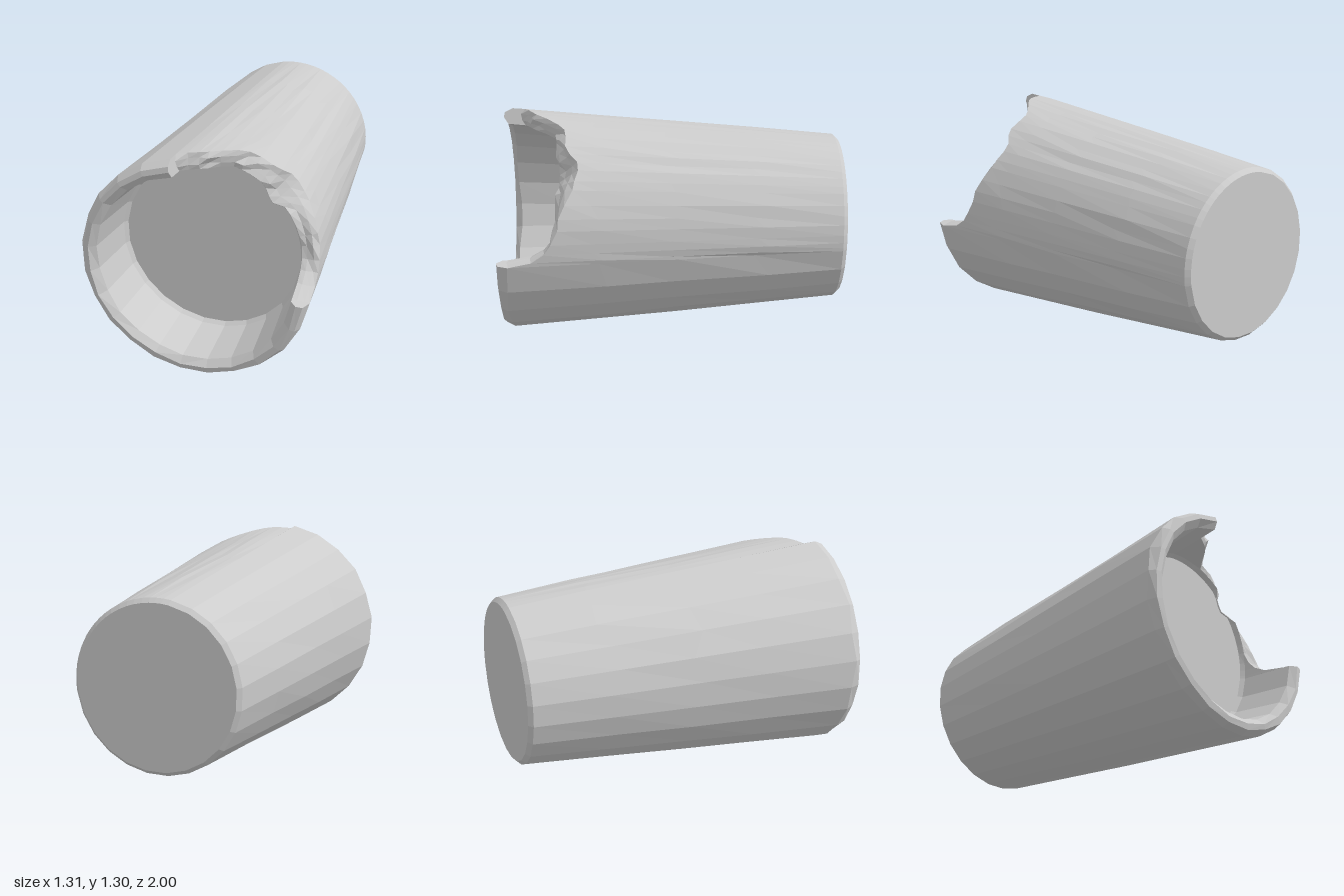
import * as THREE from 'three';

const CY = 0.663;      // height of the cup's axis, which runs along z
const FLOOR_Z = 0.64;  // level of the disc inside the mouth
const rad = THREE.MathUtils.degToRad;

// Small seeded noise in -1..1
let seed = 7;
const noise = () => {
  seed = (seed * 16807) % 2147483647;
  return (seed / 2147483647) * 2 - 1;
};

// Tapering radii of the outer and inner wall
const rOut = z => 0.492 + (z + 0.98) * 0.087;
const rIn = z => 0.535 + (z - 0.66) * 0.095;

// Broken edge: [angle in degrees, z of the outer edge, optional inner radius]
const BREAK = [
  [-8, 0.93], [-6, 0.8], [-2, 0.73], [3, 0.69], [10, 0.65], [16, 0.645],
  [23, 0.61], [31, 0.565], [36, 0.555, 0.52], [42, 0.535, 0.475], [47, 0.54, 0.485],
  [52, 0.585, 0.51], [57, 0.61], [64, 0.61], [70, 0.62], [75, 0.66], [81, 0.73],
  [86, 0.79], [90, 0.82], [95, 0.845], [100, 0.87],
];

// Lower outer wall, shared by whole and broken columns
function lowerWall() {
  const rows = [-0.5, 0, 0.42].map(z => [rOut(z) + noise() * 0.003, z + noise() * 0.05]);
  return [[0.468, -1], [0.492, -0.975], ...rows];
}

// Column with a complete rounded rim
function wholeColumn(deg) {
  return { deg, pts: [...lowerWall(),
    [0.658, 0.945 + noise() * 0.012], [0.635 + noise() * 0.005, 0.993],
    [0.602 + noise() * 0.006, 1], [0.565, 0.965 + noise() * 0.01],
    [0.535, 0.665], [0.518, FLOOR_Z]] };
}

// Column ending in the rough fracture face
function brokenColumn([deg, z, bite]) {
  const zi = bite ? FLOOR_Z + 0.006 : Math.max(z, 0.668);
  const ro = rOut(z), ri = bite ?? rIn(zi);
  const mix = (t, dz) => [ro + (ri - ro) * t, z + (zi - z) * t + dz];
  const edge = Math.min(ri - 0.003, 0.535);
  return { deg, pts: [...lowerWall(),
    [ro, z], mix(0.3, 0.01 + noise() * 0.018), mix(0.7, 0.005 + noise() * 0.015), [ri, zi],
    [edge, Math.min(zi, 0.665) - 0.001], [Math.min(edge - 0.003, 0.518), FLOOR_Z]] };
}

// Skin a closed ring of columns, each a list of [radius, z]
function skin(columns) {
  const pos = [];
  const at = (c, j) => {
    const [r, z] = c.pts[j], a = rad(c.deg);
    return [r * Math.cos(a), CY + r * Math.sin(a), z];
  };
  columns.forEach((a, i) => {
    const b = columns[(i + 1) % columns.length];
    for (let j = 0; j < a.pts.length - 1; j++) {
      const p = at(a, j), q = at(b, j), r = at(b, j + 1), s = at(a, j + 1);
      pos.push(...p, ...q, ...r, ...p, ...r, ...s);
    }
  });
  const geo = new THREE.BufferGeometry();
  geo.setAttribute('position', new THREE.Float32BufferAttribute(pos, 3));
  geo.computeVertexNormals();
  return geo;
}

export function createModel() {
  const group = new THREE.Group();
  group.name = 'brokenCup';
  const material = new THREE.MeshStandardMaterial({
    color: 0xcccccc, flatShading: true, side: THREE.DoubleSide,
  });
  const add = (name, columns) => {
    const mesh = new THREE.Mesh(skin(columns), material);
    mesh.name = name;
    group.add(mesh);
  };

  // Fracture columns, then the intact rim around the rest of the circle
  const columns = BREAK.map(brokenColumn);
  const start = 100, end = 352, steps = 17;
  for (let i = 0; i <= steps; i++) columns.push(wholeColumn(start + (end - start) * i / steps));

  // Both sides of each break step share the same lower wall
  const n = BREAK.length;
  for (let j = 0; j < 5; j++) {
    columns[n].pts[j] = columns[n - 1].pts[j];
    columns[columns.length - 1].pts[j] = columns[0].pts[j];
  }
  add('cupWall', columns);

  // Flat closed end at the back, and the flat disc inside the mouth
  add('base', columns.map(c => ({ deg: c.deg, pts: [[0, -1], c.pts[0]] })));
  add('innerFloor', columns.map(c => ({ deg: c.deg, pts: [c.pts.at(-1), [0, FLOOR_Z]] })));
  return group;
}
